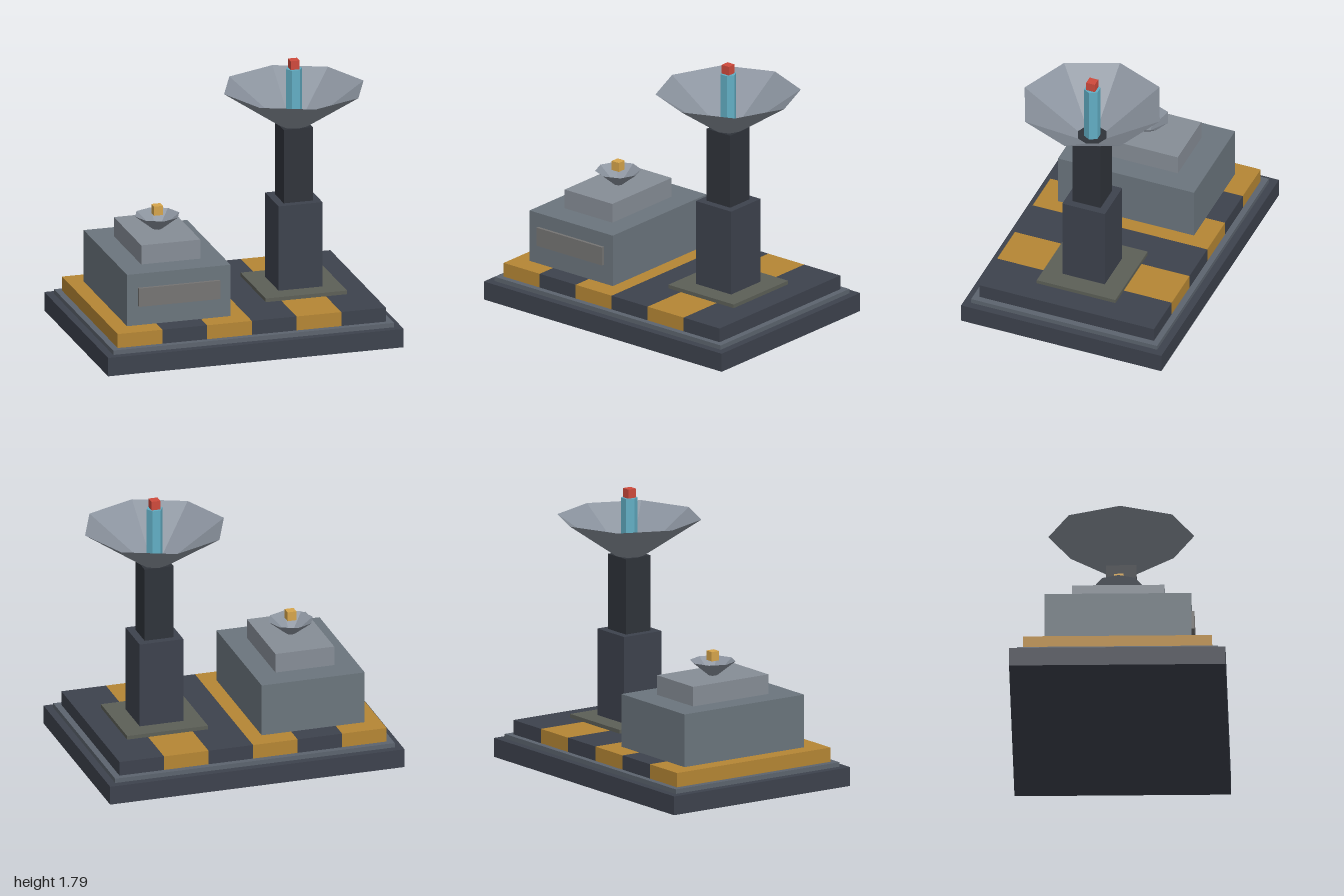
import * as THREE from 'three';

const paint = (color, extra = {}) => new THREE.MeshStandardMaterial({ color, flatShading: true, ...extra });
const slate = paint(0x3d424d);
const darkSlate = paint(0x2f333a);
const trim = paint(0x5c646e);
const wall = paint(0x6b757d);
const roof = paint(0x868d96);
const olive = paint(0x5c5f57);
const panel = paint(0x757473);
const amber = paint(0xb58634);
const gold = paint(0xd6a54b);
const red = paint(0xcf4a3c);
const cyan = paint(0x62aec4);
const dishGrey = paint(0x8a929d, { side: THREE.DoubleSide });

const TOWER_X = 0.4725;
const HOUSE_X = -0.4525;

export function createModel() {
  const model = new THREE.Group();
  model.name = 'radarStation';

  const add = (name, geometry, material, x, y, z, parent = model) => {
    const mesh = new THREE.Mesh(geometry, material);
    mesh.name = name;
    mesh.position.set(x, y, z);
    parent.add(mesh);
    return mesh;
  };
  // Box given by its width, depth and bottom/top heights
  const block = (name, material, x, w, d, y0, y1, parent, z = 0) =>
    add(name, new THREE.BoxGeometry(w, y1 - y0, d), material, x, (y0 + y1) / 2, z, parent);
  // Open eight-sided bowl
  const dish = (name, x, rTop, rBottom, y0, y1, parent) =>
    add(name, new THREE.CylinderGeometry(rTop, rBottom, y1 - y0, 8, 1, true), dishGrey, x, (y0 + y1) / 2, 0, parent);

  // Stepped base
  block('baseSlab', slate, 0, 2, 1.4, 0, 0.125);
  block('baseTrim', trim, 0, 1.9, 1.3, 0.125, 0.155);

  // Striped deck
  const deck = new THREE.Group();
  deck.name = 'stripedDeck';
  model.add(deck);
  const stripe = 1.815 / 6;
  for (let i = 0; i < 6; i++) {
    block('deckStripe' + (i + 1), i % 2 ? slate : amber, (i - 2.5) * stripe, stripe, 1.22, 0.155, 0.25, deck);
  }

  // Control building
  const house = new THREE.Group();
  house.name = 'controlBuilding';
  model.add(house);
  block('buildingBody', wall, HOUSE_X, 0.7, 0.95, 0.25, 0.6, house);
  block('buildingRoof', roof, HOUSE_X, 0.4, 0.6, 0.6, 0.73, house);
  block('frontPanel', panel, HOUSE_X, 0.55, 0.025, 0.38, 0.505, house, 0.4825);
  dish('smallDish', HOUSE_X, 0.15, 0.03, 0.73, 0.825, house);
  block('smallDishReceiver', gold, HOUSE_X, 0.06, 0.06, 0.828, 0.89, house);

  // Radar tower
  const tower = new THREE.Group();
  tower.name = 'radarTower';
  model.add(tower);
  block('towerPlate', olive, TOWER_X, 0.55, 0.55, 0.25, 0.275, tower);
  block('lowerMast', slate, TOWER_X, 0.297, 0.297, 0.275, 0.85, tower);
  block('upperMast', darkSlate, TOWER_X, 0.197, 0.197, 0.85, 1.35, tower);
  dish('largeDish', TOWER_X, 0.472, 0.1, 1.35, 1.6, tower);
  const antenna = add('antenna', new THREE.CylinderGeometry(0.054, 0.054, 0.38, 6), cyan, TOWER_X, 1.54, 0, tower);
  antenna.rotation.y = Math.PI / 6;
  block('beacon', red, TOWER_X, 0.06, 0.06, 1.73, 1.79, tower);

  return model;
}
